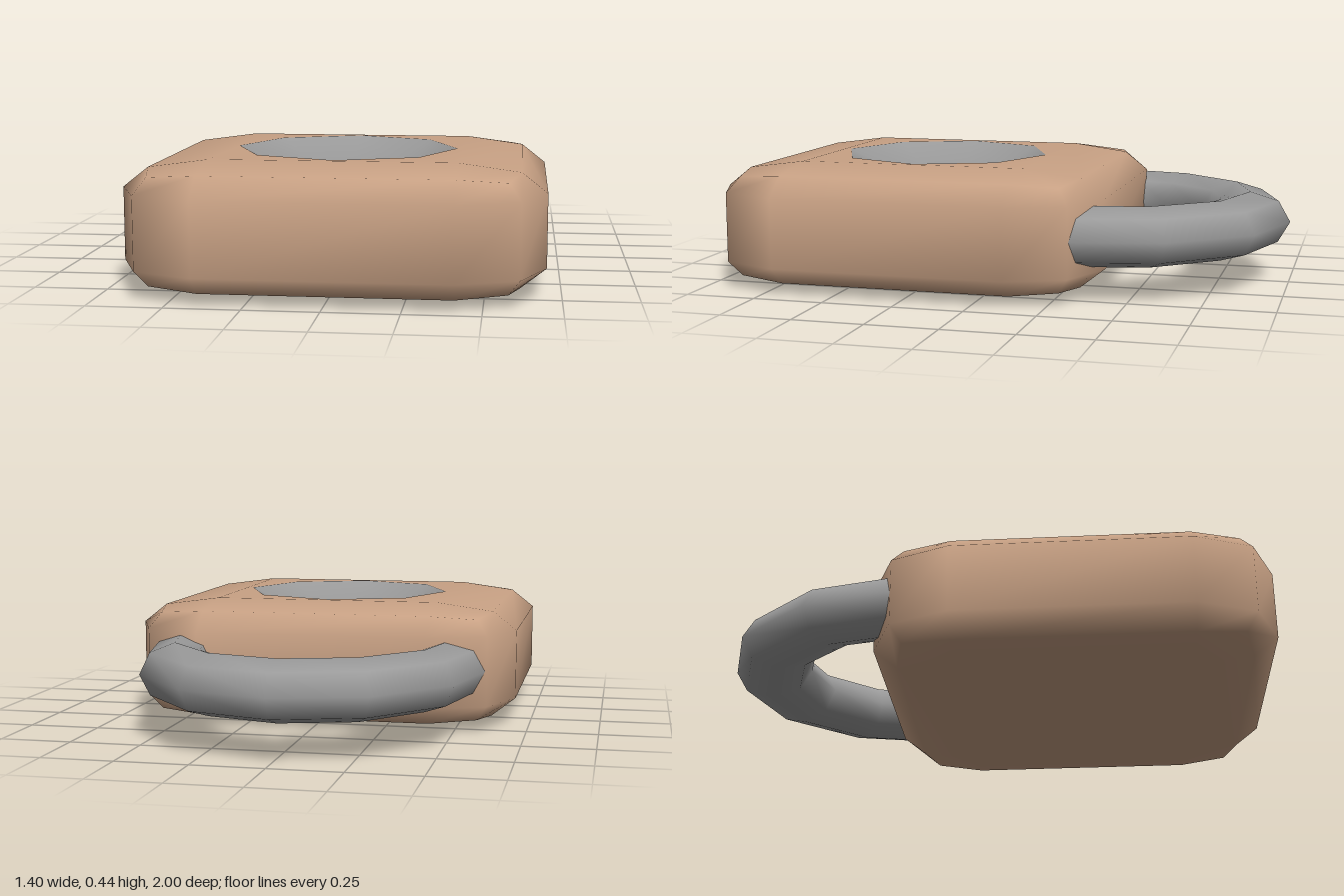
import * as THREE from 'three';
import { mergeGeometries, mergeVertices } from 'three/addons/utils/BufferGeometryUtils.js';

const CENTER_Y = 0.2175, CENTER_Z = 0.295; // middle of the lock body
const INNER = [0.41, 0.1225, 0.41];        // flat half-extents of the body
const ROUND = [0.29, 0.095, 0.29];         // rounding added outside them
const RIM = 0.388, FLOOR = 0.23, DEPTH = 0.07;

const material = (color) => new THREE.MeshStandardMaterial({ color });

function addMesh(parent, name, geometry, mat) {
  const mesh = new THREE.Mesh(geometry, mat);
  mesh.name = name;
  parent.add(mesh);
  return mesh;
}

function octagon(r) {
  return Array.from({ length: 8 }, (_, i) =>
    new THREE.Vector2(r * Math.sin(i * Math.PI / 4), r * Math.cos(i * Math.PI / 4)));
}

// Box with two-step rounded edges and an octagonal opening in its top
function bodyGeometry() {
  const box = new THREE.BoxGeometry(2, 2, 2, 3, 3, 3);
  const p = box.attributes.position;
  const onTop = [];
  for (let i = 0; i < p.count; i++) {
    const v = [p.getX(i), p.getY(i), p.getZ(i)];
    const out = v.map((c) => (Math.abs(c) > 0.9 ? Math.sign(c) : 0));
    const len = Math.hypot(...out);
    onTop.push(out[1] === 1 && len === 1);
    p.setXYZ(i, ...v.map((c, k) => Math.sign(c) * INNER[k] + out[k] / len * ROUND[k]));
  }
  // leave out the flat top panel
  const index = [];
  for (let i = 0; i < box.index.count; i += 3) {
    const tri = [0, 1, 2].map((k) => box.index.getX(i + k));
    if (!tri.every((k) => onTop[k])) index.push(...tri);
  }
  box.setIndex(index);

  // top panel with the opening
  const [a, , b] = INNER;
  const panel = new THREE.Shape([[-a, -b], [a, -b], [a, b], [-a, b]].map((q) => new THREE.Vector2(...q)));
  panel.holes.push(new THREE.Path(octagon(RIM)));
  const top = new THREE.ShapeGeometry(panel);
  top.rotateX(-Math.PI / 2).translate(0, INNER[1] + ROUND[1], 0);

  for (const g of [box, top]) {
    g.deleteAttribute('uv');
    g.deleteAttribute('normal');
  }
  const body = mergeVertices(mergeGeometries([box, top]), 1e-3);
  body.computeVertexNormals();
  return body;
}

// Arched bar lofted through flattened octagonal rings
function shackleGeometry() {
  // [outer x, outer z, inner x, inner z] from one foot to the crown
  const half = [
    [0.62, -0.26, 0.36, -0.29],
    [0.608, -0.33, 0.35, -0.39],
    [0.54, -0.635, 0.33, -0.49],
    [0.31, -0.905, 0.19, -0.655],
    [0, -1, 0, -0.71],
  ];
  const rings = [...half, ...half.slice(0, 4).reverse().map(([a, b, c, d]) => [-a, b, -c, d])];
  const sides = 8, positions = [], index = [];
  rings.forEach(([ox, oz, ix, iz], r) => {
    for (let s = 0; s < sides; s++) {
      const t = s / sides * Math.PI * 2, c = Math.cos(t) / 2;
      positions.push((ox + ix) / 2 + (ox - ix) * c, 0.22 + 0.105 * Math.sin(t), (oz + iz) / 2 + (oz - iz) * c);
      if (r === 0) continue;
      const n = (s + 1) % sides, lo = (r - 1) * sides, hi = r * sides;
      index.push(lo + s, lo + n, hi + s, lo + n, hi + n, hi + s);
    }
  });
  const g = new THREE.BufferGeometry();
  g.setAttribute('position', new THREE.Float32BufferAttribute(positions, 3));
  g.setIndex(index);
  g.computeVertexNormals();
  return g;
}

export function createModel() {
  const model = new THREE.Group();
  model.name = 'padlock';
  const metal = material(0x9a9a9a);
  metal.side = THREE.DoubleSide;
  const black = material(0x080808);

  // Body
  const lock = new THREE.Group();
  lock.name = 'lock';
  lock.position.set(0, CENTER_Y, CENTER_Z);
  model.add(lock);
  addMesh(lock, 'body', bodyGeometry(), material(0xc8a184));

  // Sunken plate around the keyhole
  const topY = INNER[1] + ROUND[1];
  const profile = [[RIM, topY], [FLOOR, topY - DEPTH], [0, topY - DEPTH]].map((q) => new THREE.Vector2(...q));
  addMesh(lock, 'keyholeDish', new THREE.LatheGeometry(profile, 8), metal);

  // Keyhole: round head and straight slot
  const keyhole = new THREE.Group();
  keyhole.name = 'keyhole';
  keyhole.position.y = topY - DEPTH + 0.003;
  lock.add(keyhole);
  const head = new THREE.ShapeGeometry(new THREE.Shape(octagon(0.085)));
  head.rotateX(-Math.PI / 2).translate(0, 0, -0.09);
  addMesh(keyhole, 'keyholeHead', head, black);
  const slot = new THREE.PlaneGeometry(0.056, 0.2);
  slot.rotateX(-Math.PI / 2).translate(0, 0.001, 0.045);
  addMesh(keyhole, 'keyholeSlot', slot, black);

  // Shackle
  addMesh(model, 'shackle', shackleGeometry(), metal);
  return model;
}
